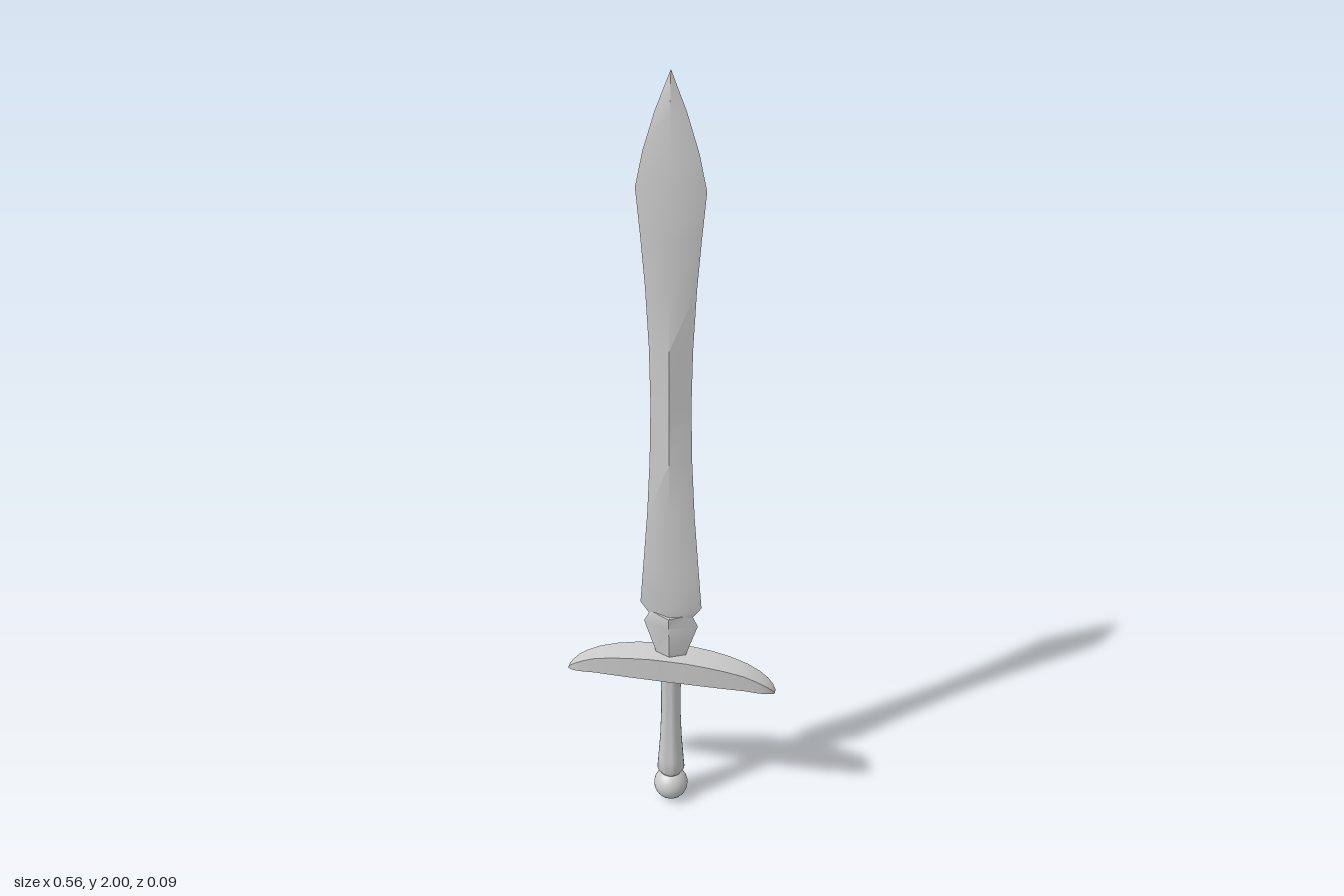
import * as THREE from 'three';
import { toCreasedNormals } from 'three/addons/utils/BufferGeometryUtils.js';

const material = new THREE.MeshStandardMaterial({ color: 0xcccccc });

// Skins a row of equal cross-sections (counter-clockwise about the axis) and caps both ends.
function loft(rings, crease) {
  const n = rings[0].length, last = (rings.length - 1) * n, index = [];
  for (let i = 0; i < last; i += n) {
    for (let j = 0; j < n; j++) {
      const k = (j + 1) % n;
      index.push(i + j, i + k, i + n + k, i + j, i + n + k, i + n + j);
    }
  }
  for (let j = 1; j < n - 1; j++) {
    index.push(0, j + 1, j, last, last + j, last + j + 1);
  }
  const geometry = new THREE.BufferGeometry();
  geometry.setAttribute('position', new THREE.Float32BufferAttribute(rings.flat(2), 3));
  geometry.setIndex(index);
  return toCreasedNormals(geometry, crease);
}

// Diamond section: half width w, half thickness h
const diamond = ([y, w, h]) => [[0, y, h], [w, y, 0], [0, y, -h], [-w, y, 0]];

export function createModel() {
  const group = new THREE.Group();
  group.name = 'sword';
  const add = (name, geometry) => {
    const mesh = new THREE.Mesh(geometry, material);
    mesh.name = name;
    group.add(mesh);
  };

  // Leaf-shaped blade: height, half width, half thickness
  const blade = [
    [0.595, 0.055, 0.022], [0.63, 0.08, 0.023], [0.75, 0.071, 0.023], [0.9, 0.06, 0.023],
    [1.05, 0.053, 0.023], [1.2, 0.05, 0.023], [1.35, 0.053, 0.023], [1.5, 0.061, 0.023],
    [1.62, 0.071, 0.023], [1.735, 0.082, 0.022], [1.82, 0.064, 0.017], [1.91, 0.036, 0.009],
    [2, 0.0005, 0.0005],
  ];
  add('blade', loft(blade.map(diamond), 0.8));

  // Flared collar between blade and guard
  const collar = [[0.46, 0.037, 0.02], [0.48, 0.04, 0.021], [0.573, 0.071, 0.029], [0.605, 0.055, 0.032]];
  add('bladeCollar', loft(collar.map(diamond), 0.8));

  // Curved guard: x, underside, top, half depth; mirrored to both sides
  const half = [
    [0, 0.414, 0.48, 0.041], [0.05, 0.414, 0.479, 0.0405], [0.1, 0.413, 0.474, 0.039],
    [0.15, 0.411, 0.466, 0.0355], [0.2, 0.408, 0.453, 0.03], [0.235, 0.403, 0.437, 0.0255],
    [0.255, 0.4, 0.424, 0.021], [0.27, 0.397, 0.411, 0.014], [0.278, 0.395, 0.4, 0.007],
  ];
  const mirrored = half.slice(1).reverse().map(([x, ...rest]) => [-x, ...rest]);
  const guard = [...mirrored, ...half].map(([x, b, t, d]) =>
    [[x, b, -d], [x, t, -d], [x, t, d], [x, b, d]]);
  add('guard', loft(guard, 0.8));

  // Round grip, flaring towards the pommel
  const grip = [[0.02, 0.08], [0.03, 0.09], [0.037, 0.102], [0.034, 0.14], [0.029, 0.21],
    [0.026, 0.29], [0.026, 0.36], [0.028, 0.43]].map(([r, y]) => new THREE.Vector2(r, y));
  add('grip', toCreasedNormals(new THREE.LatheGeometry(grip, 24), 0.7));

  // Ball pommel
  add('pommel', new THREE.SphereGeometry(0.046, 24, 16).translate(0, 0.046, 0));

  // The sword sits slightly forward of the origin
  group.children.forEach((mesh) => { mesh.position.z = 0.095; });
  return group;
}
